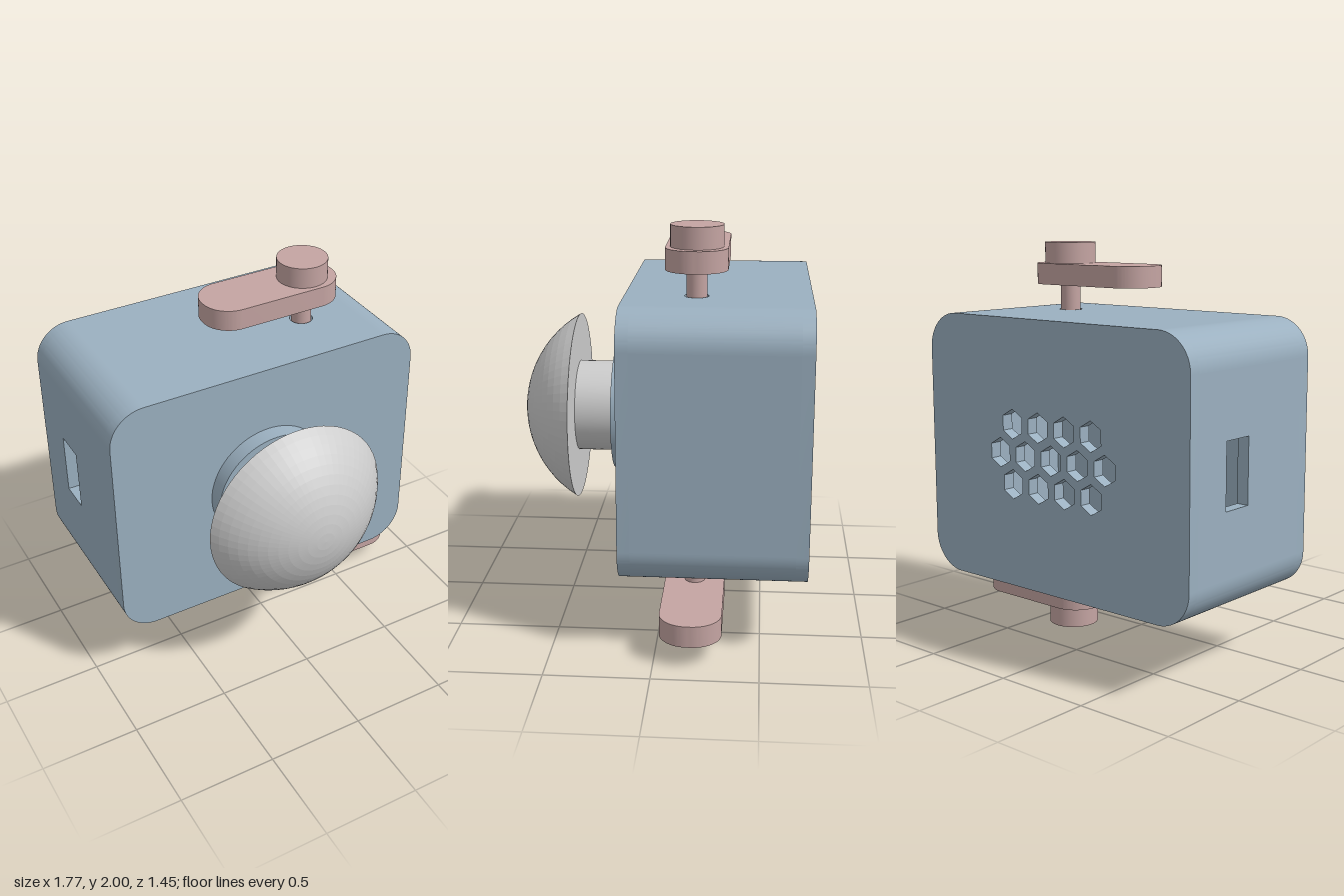
import * as THREE from 'three';
import { toCreasedNormals } from 'three/addons/utils/BufferGeometryUtils.js';

const BODY = { x: -0.055, y: 1.0025, z: -0.2725, w: 1.66, h: 1.315, d: 0.895, r: 0.18, wall: 0.06 };
const AXLE = { x: 0.33, z: -0.17 };

const blue = new THREE.MeshStandardMaterial({ color: 0x9bb0c0 });
const pink = new THREE.MeshStandardMaterial({ color: 0xc4a4a2 });
const grey = new THREE.MeshStandardMaterial({ color: 0xcccccc });
const greyFacets = new THREE.MeshStandardMaterial({ color: 0xcccccc, flatShading: true });

function add(parent, name, geometry, material, x = 0, y = 0, z = 0) {
  const mesh = new THREE.Mesh(geometry, material);
  mesh.name = name;
  mesh.position.set(x, y, z);
  parent.add(mesh);
  return mesh;
}

function extrude(shape, depth) {
  const g = new THREE.ExtrudeGeometry(shape, { depth, bevelEnabled: false, curveSegments: 16 });
  return toCreasedNormals(g, 0.5);
}

// Rounded rectangle centred on the origin; r = 0 gives square corners
function rectangle(w, h, r = 0) {
  const s = new THREE.Shape();
  const a = w / 2, b = h / 2;
  if (r === 0) {
    s.moveTo(-a, -b).lineTo(a, -b).lineTo(a, b).lineTo(-a, b).closePath();
    return s;
  }
  s.absarc(a - r, -b + r, r, -Math.PI / 2, 0);
  s.absarc(a - r, b - r, r, 0, Math.PI / 2);
  s.absarc(-a + r, b - r, r, Math.PI / 2, Math.PI);
  s.absarc(-a + r, -b + r, r, Math.PI, Math.PI * 1.5);
  s.closePath();
  return s;
}

function hexagon(x, y, r) {
  const points = [];
  for (let i = 0; i < 6; i++) {
    const a = Math.PI / 6 + (i * Math.PI) / 3;
    points.push(new THREE.Vector2(x + r * Math.cos(a), y + r * Math.sin(a)));
  }
  return new THREE.Path(points);
}

function circle(x, y, r) {
  return new THREE.Path().absarc(x, y, r, 0, Math.PI * 2);
}

// Hollow housing: two plates, four flat walls and four rounded corners
function createHousing() {
  const { w, h, d, r, wall } = BODY;
  const housing = new THREE.Group();
  housing.name = 'housing';
  housing.position.set(BODY.x, BODY.y, BODY.z);
  const depth = d - 2 * wall;

  add(housing, 'frontPlate', extrude(rectangle(w, h, r), wall), blue, 0, 0, d / 2 - wall);

  // Back plate with a 4-5-4 honeycomb vent
  const back = rectangle(w, h, r);
  const pitch = 0.17;
  [4, 5, 4].forEach((count, row) => {
    for (let i = 0; i < count; i++) {
      back.holes.push(hexagon((i - (count - 1) / 2) * pitch, (row - 1) * pitch * 0.866, 0.073));
    }
  });
  add(housing, 'backPlate', extrude(back, wall), blue, 0, 0, -d / 2);

  // Side walls, one with a slot
  const slotted = rectangle(depth, h - 2 * r);
  const slot = new THREE.Path();
  const z0 = -0.46 - BODY.z, z1 = -0.295 - BODY.z;
  slot.moveTo(z0, -0.16).lineTo(z0, 0.16).lineTo(z1, 0.16).lineTo(z1, -0.16).closePath();
  slotted.holes.push(slot);
  add(housing, 'rightWall', extrude(slotted, wall), blue, -w / 2 + wall).rotation.y = -Math.PI / 2;
  add(housing, 'leftWall', extrude(rectangle(depth, h - 2 * r), wall), blue, w / 2 - wall).rotation.y = Math.PI / 2;

  // Top and bottom walls with axle holes
  for (const side of [1, -1]) {
    const panel = rectangle(w - 2 * r, depth);
    panel.holes.push(circle(AXLE.x - BODY.x, -side * (AXLE.z - BODY.z), 0.058));
    const mesh = add(housing, side > 0 ? 'topWall' : 'bottomWall', extrude(panel, wall), blue, 0, side * (h / 2 - wall));
    mesh.rotation.x = (-side * Math.PI) / 2;
  }

  // Rounded corners
  [[1, 1], [-1, 1], [-1, -1], [1, -1]].forEach(([sx, sy], i) => {
    const arc = new THREE.Shape();
    arc.absarc(0, 0, r, 0, Math.PI / 2);
    arc.absarc(0, 0, r - wall, Math.PI / 2, 0, true);
    arc.closePath();
    const corner = add(housing, 'corner', extrude(arc, depth), blue, sx * (w / 2 - r), sy * (h / 2 - r), -depth / 2);
    corner.rotation.z = (i * Math.PI) / 2;
  });
  return housing;
}

// Crank around its axle, height measured from the middle of the model
function createCrank(name) {
  const crank = new THREE.Group();
  crank.name = name;
  add(crank, 'axle', new THREE.CylinderGeometry(0.05, 0.05, 0.25, 32), pink, 0, 0.67);
  const arm = add(crank, 'crankArm', extrude(rectangle(0.722, 0.298, 0.14), 0.105), pink, -0.192, 0.79);
  arm.rotation.x = -Math.PI / 2;
  add(crank, 'knob', new THREE.CylinderGeometry(0.127, 0.127, 0.105, 48), pink, 0, 0.9475);
  crank.position.set(AXLE.x, 1, AXLE.z);
  return crank;
}

// Collar, stem and domed cap along +z
function createDome() {
  const dome = new THREE.Group();
  dome.name = 'domeAssembly';
  dome.position.set(BODY.x, 1.0025, 0);
  dome.rotation.x = Math.PI / 2;
  add(dome, 'collar', new THREE.CylinderGeometry(0.32, 0.32, 0.085, 64), blue, 0, 0.2175);
  add(dome, 'stem', new THREE.CylinderGeometry(0.232, 0.232, 0.2, 64), grey, 0, 0.355);

  const radius = 0.548, centre = 0.177;
  const edge = Math.acos((0.45 - centre) / radius);
  const profile = [new THREE.Vector2(0, 0.45)];
  const steps = 12;
  for (let i = 0; i <= steps; i++) {
    const a = edge * (1 - i / steps);
    profile.push(new THREE.Vector2(radius * Math.sin(a), centre + radius * Math.cos(a)));
  }
  add(dome, 'domeCap', new THREE.LatheGeometry(profile, 64), greyFacets);
  return dome;
}

export function createModel() {
  const model = new THREE.Group();
  model.name = 'crankBox';
  const topCrank = createCrank('topCrank');
  const bottomCrank = createCrank('bottomCrank');
  bottomCrank.rotation.z = Math.PI;
  model.add(createHousing(), createDome(), topCrank, bottomCrank);
  return model;
}
